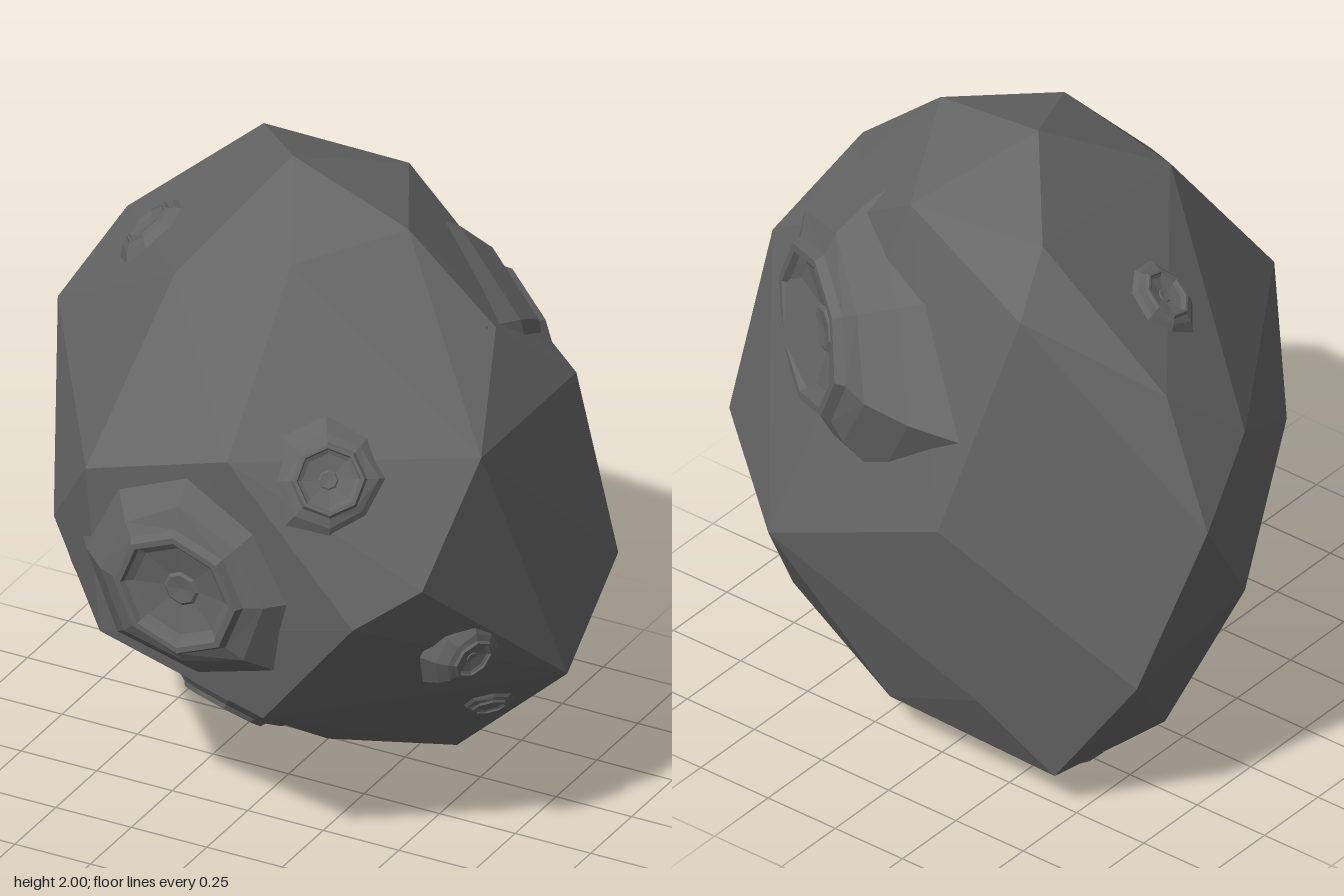
import * as THREE from 'three';
import { ConvexGeometry } from 'three/addons/geometries/ConvexGeometry.js';

const material = new THREE.MeshStandardMaterial({ color: 0x666666, flatShading: true, roughness: 0.9 });

// Corners of the faceted rock
const corners = [
  // crown
  [-0.04, 2, -0.1], [0.38, 1.9, -0.03], [0.15, 1.86, 0.26], [-0.22, 1.75, 0.29],
  [-0.31, 1.88, -0.42], [0.15, 1.85, -0.46], [-0.37, 1.73, -0.6], [0.67, 1.65, -0.03],
  // front
  [0.17, 1.42, 0.69], [-0.32, 1.25, 0.65], [0.57, 0.95, 0.66], [0.23, 0.53, 0.58],
  [-0.3, 0.69, 0.6], [-0.55, 0.92, 0.42], [0.74, 1.07, 0.55],
  // sides
  [0.8, 1.41, 0.3], [0.79, 1.4, -0.3], [0.89, 0.54, -0.06], [0.88, 0.78, -0.39],
  [-0.74, 1.51, -0.38], [-0.84, 1.3, -0.14], [-0.9, 1.1, -0.39], [-0.84, 0.74, -0.14], [-0.74, 0.55, -0.52],
  // back
  [-0.19, 1, -0.76], [0.52, 0.64, -0.66], [0.61, 0.3, -0.43], [-0.24, 0.36, -0.64],
  // underside
  [0, 0, -0.24], [0.46, 0.13, -0.18], [0.17, 0.14, -0.53], [-0.45, 0.13, -0.54], [-0.59, 0.2, -0.2],
].map((p) => new THREE.Vector3(...p));

// Craters: centre, rim radius, optional facing (then the centre is exact) and sideways stretch
const craters = [
  { name: 'frontCrater', at: [0.03, 0.97, 0.735], radius: 0.19, facing: [0.02, -0.06, 1] },
  { name: 'upperFrontCrater', at: [0.45, 1.38, 0.58], radius: 0.1 },
  { name: 'rightFrontCrater', at: [-0.56, 0.64, 0.185], radius: 0.085 },
  { name: 'lowerFrontCrater', at: [-0.15, 0.27, 0.08], radius: 0.12 },
  { name: 'leftCrater', at: [0.78, 0.74, 0.31], radius: 0.063, facing: [0.85, -0.25, 0.4] },
  { name: 'lowerLeftCrater', at: [0.69, 0.39, 0], radius: 0.05 },
  { name: 'upperRightCrater', at: [-0.52, 1.63, -0.12], radius: 0.075 },
  { name: 'undersideCrater', at: [-0.42, 0.09, -0.38], radius: 0.07 },
  { name: 'largeBackCrater', at: [0.46, 1.31, -0.52], radius: 0.23, facing: [0.57, 0.1, -0.81], stretch: 1.2 },
];

// Skirt, raised rim, sunken floor and central bump, for a rim radius of 1
const profile = [
  [2.3, -0.9], [1.85, -0.25], [1.4, 0.16], [1.12, 0.28], [1.04, 0.4], [0.94, 0.4], [0.9, 0.32],
  [0.78, 0.25], [0.3, 0.16], [0.25, 0.2], [0, 0.17],
].map(([r, y]) => new THREE.Vector2(r, y));

function craterGeometry(radius, stretch, seed) {
  const geometry = new THREE.LatheGeometry(profile, 8);
  const pos = geometry.attributes.position;
  // Make the skirt uneven and leave the rim regular
  for (let i = 0; i < pos.count; i++) {
    const x = pos.getX(i), z = pos.getZ(i);
    if (Math.hypot(x, z) < 1.2) continue;
    const k = 1 + 0.06 * Math.sin(3 * Math.atan2(z, x) + seed * 1.7);
    pos.setX(i, x * k);
    pos.setZ(i, z * k);
  }
  // Open towards +z
  geometry.rotateX(Math.PI / 2);
  geometry.scale(radius * stretch, radius, radius);
  geometry.computeVertexNormals();
  return geometry;
}

export function createModel() {
  const model = new THREE.Group();
  model.name = 'asteroid';

  const rock = new THREE.Mesh(new ConvexGeometry(corners), material);
  rock.name = 'rock';
  model.add(rock);
  rock.updateMatrixWorld(true);

  const core = new THREE.Vector3(0, 1, 0);
  craters.forEach(({ name, at, radius, facing, stretch = 1 }, i) => {
    const crater = new THREE.Mesh(craterGeometry(radius, stretch, i), material);
    crater.name = name;
    const centre = new THREE.Vector3(...at);
    let normal;
    if (facing) {
      // Sink the base so that the rim surrounds the given centre
      normal = new THREE.Vector3(...facing).normalize();
      crater.position.copy(centre).addScaledVector(normal, -0.3 * radius);
    } else {
      // Seat the crater on the facet below it
      const aim = centre.sub(core).normalize();
      const start = core.clone().addScaledVector(aim, 3);
      const hit = new THREE.Raycaster(start, aim.negate()).intersectObject(rock)[0];
      normal = hit.face.normal;
      crater.position.copy(hit.point);
    }
    crater.lookAt(crater.position.clone().add(normal));
    model.add(crater);
  });
  return model;
}
